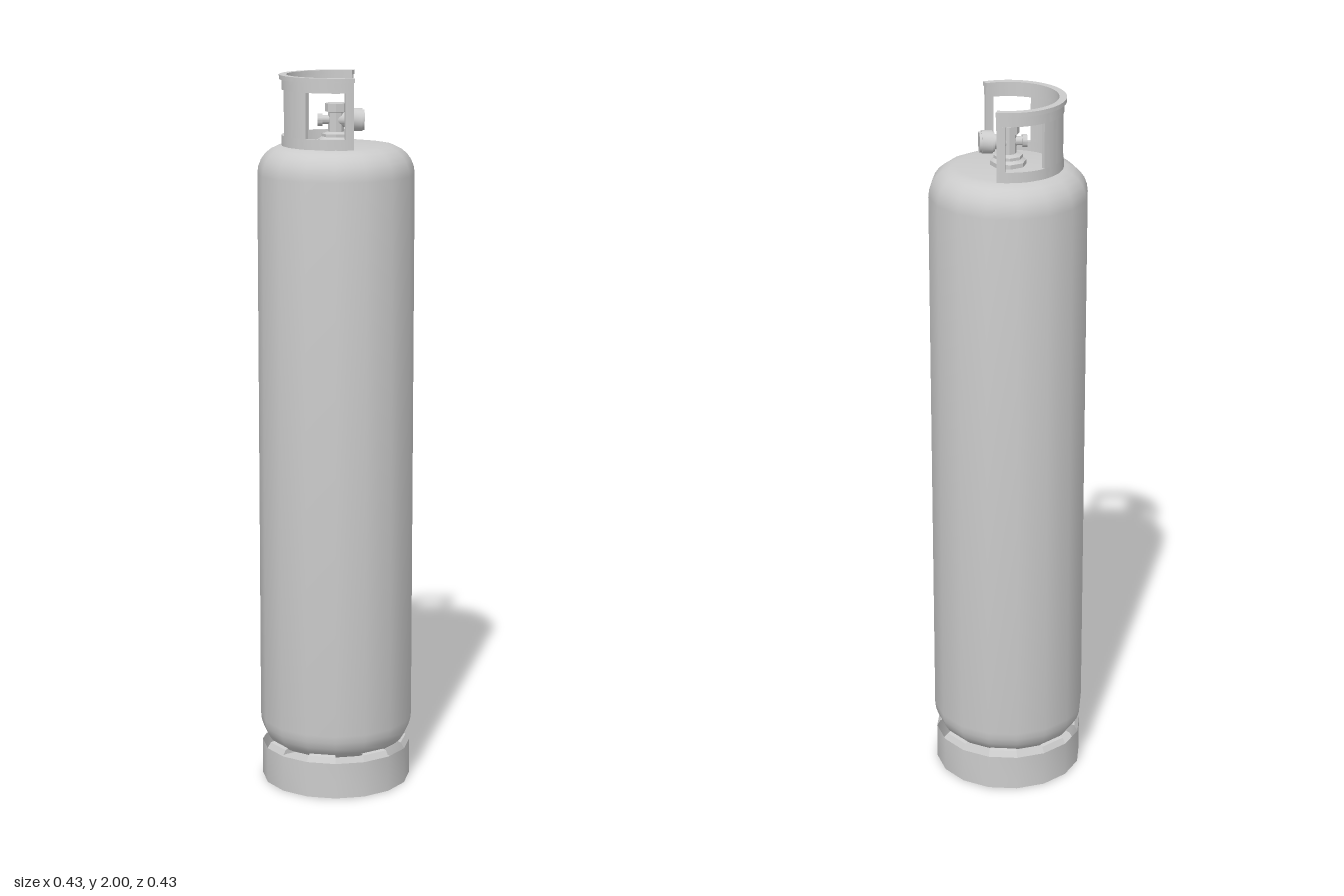
import * as THREE from 'three';
import { toCreasedNormals } from 'three/addons/utils/BufferGeometryUtils.js';

export function createModel() {
  const root = new THREE.Group();
  root.name = 'gasCylinder';
  const grey = new THREE.MeshStandardMaterial({ color: 0xcccccc });
  const greyThin = new THREE.MeshStandardMaterial({ color: 0xcccccc, side: THREE.DoubleSide });

  const add = (parent, name, geo, mat = grey) => {
    const mesh = new THREE.Mesh(toCreasedNormals(geo, 0.6), mat);
    mesh.name = name;
    parent.add(mesh);
    return mesh;
  };
  const group = (name) => {
    const g = new THREE.Group();
    g.name = name;
    root.add(g);
    return g;
  };
  const lathe = (pts, segs, start = 0, len = Math.PI * 2) =>
    new THREE.LatheGeometry(pts.map(([r, y]) => new THREE.Vector2(r, y)), segs, start, len);

  // Tank: straight wall with rounded shoulders
  const R = 0.215;
  const profile = [[0, 0.1], [0.15, 0.103]];
  for (let i = 1; i <= 6; i++) {
    const a = (i / 6) * Math.PI / 2;
    profile.push([0.15 + 0.065 * Math.sin(a), 0.183 - 0.08 * Math.cos(a)]);
  }
  for (let i = 0; i <= 6; i++) {
    const a = (i / 6) * Math.PI / 2;
    profile.push([0.14 + 0.075 * Math.cos(a), 1.73 + 0.08 * Math.sin(a)]);
  }
  profile.push([0, 1.815]);
  add(root, 'tank', lathe(profile, 16));

  // Foot ring: closed underside, with every other segment of the sloping rim left open
  const foot = group('footRing');
  add(foot, 'footWall', lathe([[0, 0], [0.21, 0], [0.21, 0.102]], 16), greyThin);
  const step = Math.PI / 8;
  for (let i = 1; i < 16; i += 2) {
    add(foot, 'footRimTab', lathe([[0.21, 0.102], [0.2, 0.118], [0.175, 0.125]], 1, i * step, step), greyThin);
  }

  // Guard collar: curved rails and posts around three windows, open towards +x
  const collar = group('guardCollar');
  const arc = (name, r0, r1, y0, y1, deg0, deg1) => {
    const a0 = THREE.MathUtils.degToRad(deg0), a1 = THREE.MathUtils.degToRad(deg1);
    const s = new THREE.Shape();
    s.absarc(0, 0, r1, a0, a1, false);
    s.absarc(0, 0, r0, a1, a0, true);
    s.closePath();
    const geo = new THREE.ExtrudeGeometry(s, {
      depth: y1 - y0, bevelEnabled: false, curveSegments: Math.max(3, Math.round((deg1 - deg0) / 8)),
    });
    geo.rotateX(-Math.PI / 2).translate(0, y0, 0);
    add(collar, name, geo);
  };
  arc('collarBottomRail', 0.137, 0.148, 1.8, 1.837, 71, 289);
  arc('collarTopRail', 0.137, 0.148, 1.96, 1.988, 71, 289);
  arc('collarLip', 0.135, 0.155, 1.988, 2, 71, 289);
  for (const [d0, d1] of [[71, 80], [123, 162], [198, 237], [280, 289]]) {
    arc('collarPost', 0.137, 0.148, 1.837, 1.96, d0, d1);
  }

  // Valve: eight-sided stepped stem with a cap
  const valve = group('valve');
  add(valve, 'valveStem', lathe([
    [0, 1.808], [0.049, 1.808], [0.049, 1.825], [0.039, 1.832], [0.039, 1.84], [0.022, 1.845],
    [0.022, 1.898], [0.03, 1.9], [0.03, 1.922], [0, 1.922],
  ], 8));

  // Side fittings along x: [name, from x, to x, radius]
  const fittings = [
    ['outletNeck', 0, 0.044, 0.02],
    ['outletCollar', 0.038, 0.046, 0.027],
    ['outletNut', 0.043, 0.072, 0.031],
    ['outletNutEnd', 0.072, 0.078, 0.028],
    ['reliefNeck', -0.038, 0, 0.012],
    ['reliefCap', -0.05, -0.037, 0.017],
  ];
  for (const [name, x0, x1, r] of fittings) {
    const geo = new THREE.CylinderGeometry(r, r, x1 - x0, 16);
    geo.rotateZ(Math.PI / 2).translate((x0 + x1) / 2, 1.877, 0);
    add(valve, name, geo);
  }
  return root;
}
